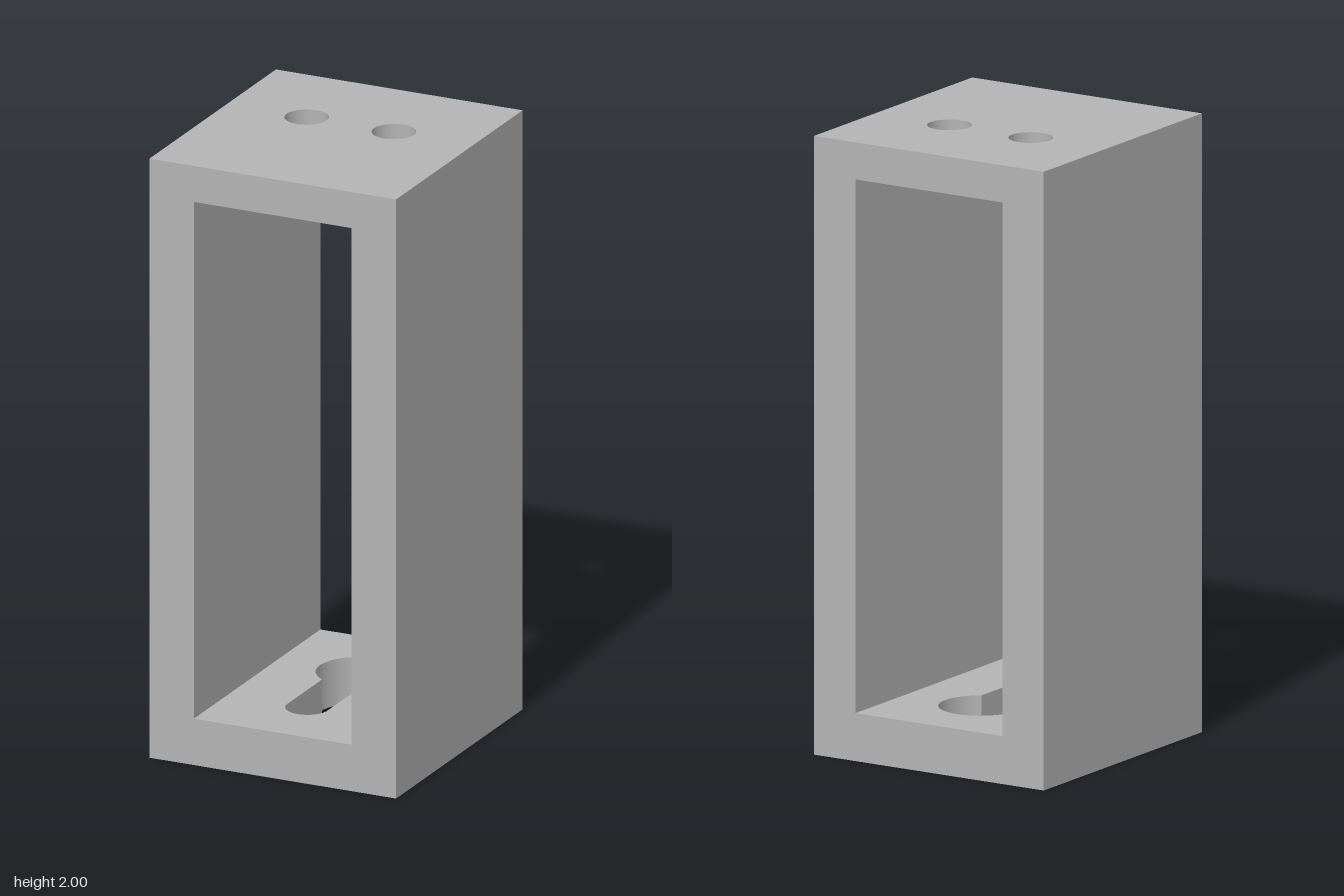
import * as THREE from 'three';

const W = 0.43, D = 0.455, H = 2;            // half width, half depth, height
const INNER = 0.275, FLOOR = 0.155, CEIL = 1.88;

// Horizontal plate with holes; shape y runs towards the back (-z)
function plate(name, y0, y1, holes, material) {
  const shape = new THREE.Shape([
    new THREE.Vector2(-INNER, -D), new THREE.Vector2(INNER, -D),
    new THREE.Vector2(INNER, D), new THREE.Vector2(-INNER, D),
  ]);
  shape.holes.push(...holes);
  const geo = new THREE.ExtrudeGeometry(shape, { depth: y1 - y0, bevelEnabled: false, curveSegments: 40 });
  geo.rotateX(-Math.PI / 2).translate(0, y0, 0);
  const mesh = new THREE.Mesh(geo, material);
  mesh.name = name;
  return mesh;
}

// Round screw hole
function roundHole(x, y, r) {
  return new THREE.Path().absarc(x, y, r, 0, Math.PI * 2, false);
}

// Keyhole: large circle at the back with a narrow slot towards the front
function keyhole(cy, R, slotY, r) {
  const a = Math.acos(r / R);
  const path = new THREE.Path();
  path.absarc(0, cy, R, -a, Math.PI + a, false);
  path.absarc(0, slotY, r, Math.PI, Math.PI * 2, false);
  path.closePath();
  return path;
}

export function createModel() {
  const group = new THREE.Group();
  group.name = 'mountingBracket';
  const grey = new THREE.MeshStandardMaterial({ color: 0xb4b4b4 });
  grey.name = 'grey';

  // Side walls
  for (const s of [-1, 1]) {
    const wall = new THREE.Mesh(new THREE.BoxGeometry(W - INNER, H, D * 2), grey);
    wall.position.set(s * (W + INNER) / 2, H / 2, 0);
    wall.name = s > 0 ? 'leftWall' : 'rightWall';
    group.add(wall);
  }

  // Top plate with two screw holes, bottom plate with a keyhole
  group.add(plate('topPlate', CEIL, H, [-1, 1].map((s) => roundHole(s * 0.152, 0.103, 0.07)), grey));
  group.add(plate('bottomPlate', 0, FLOOR, [keyhole(0.158, 0.133, -0.205, 0.07)], grey));
  return group;
}
